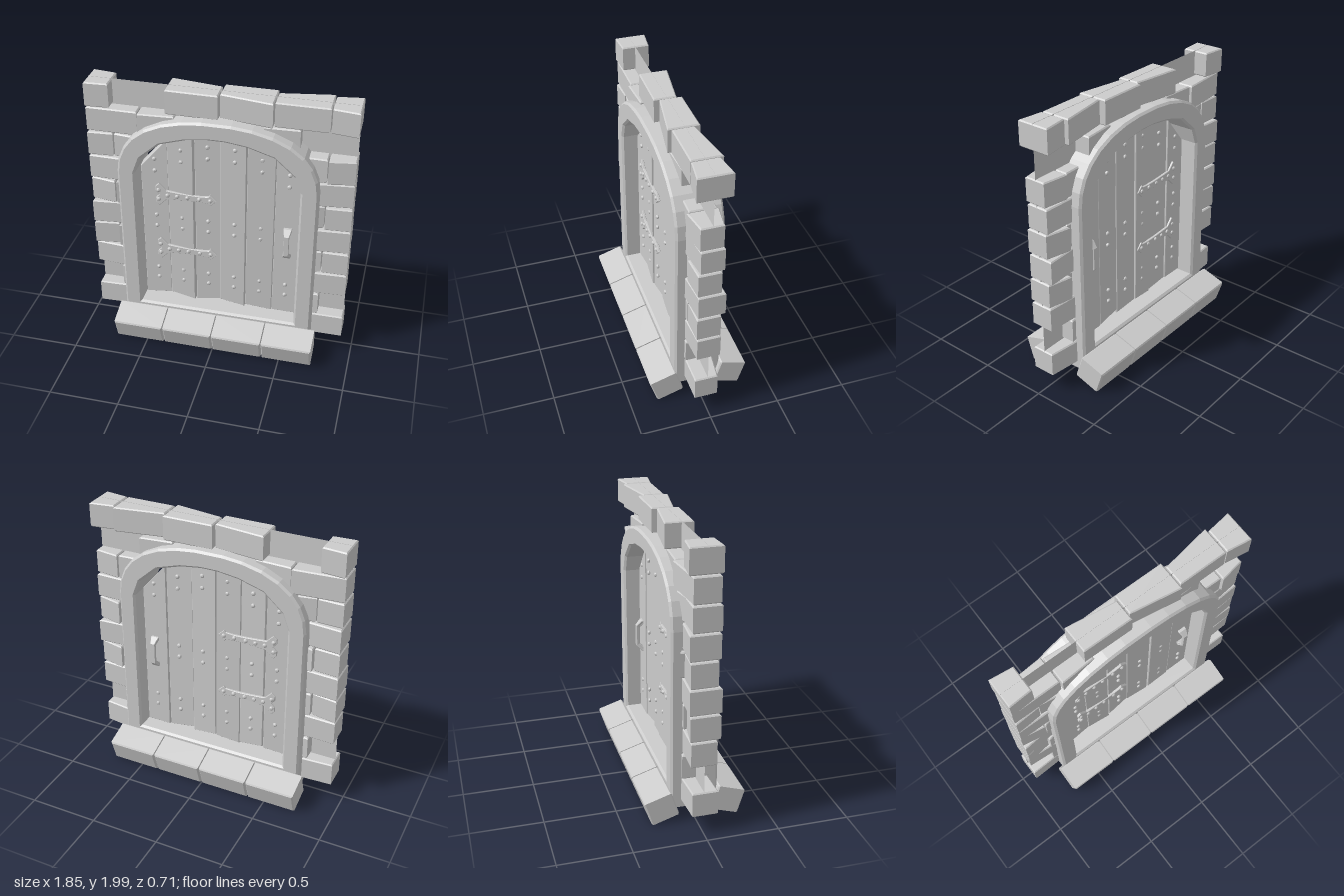
import * as THREE from 'three';

const mat = new THREE.MeshStandardMaterial({ color: 0xcccccc, flatShading: true });
const thin = new THREE.MeshStandardMaterial({ color: 0xcccccc, side: THREE.DoubleSide });

let seed = 11;
const rand = () => (seed = (seed * 16807) % 2147483647) / 2147483647;

const toShape = (pts) => new THREE.Shape(pts.map(([x, y]) => new THREE.Vector2(x, y)));
const mirrorX = (pts) => pts.concat(pts.slice().reverse().map(([x, y]) => [-x, y]));

function add(parent, geo, name, material = mat) {
  const mesh = new THREE.Mesh(geo, material);
  mesh.name = name;
  parent.add(mesh);
  return mesh;
}

// Extrude with a small chamfer that stays inside the outline; depth is centred on 0
function slab(shape, depth, bevel) {
  const geo = new THREE.ExtrudeGeometry(shape, {
    depth: depth - 2 * bevel, bevelEnabled: true, bevelThickness: bevel,
    bevelSize: bevel, bevelOffset: -bevel, bevelSegments: 1,
  });
  return geo.translate(0, 0, -depth / 2 + bevel);
}

// Wall brick whose front and back faces may slant: z = [backL, backR, frontL, frontR]
function brick(parent, x0, x1, row, z) {
  const g = 0.004, h = 0.1855;
  const shape = toShape([[x0 + g, -z[2]], [x1 - g, -z[3]], [x1 - g, -z[1]], [x0 + g, -z[0]]]);
  const geo = slab(shape, h - 2 * g, 0.008).rotateX(-Math.PI / 2);
  add(parent, geo, 'wallBrick').position.y = 0.145 + (row + 0.5) * h;
}

function buildWall() {
  const wall = new THREE.Group();
  wall.name = 'brickWall';
  // Thin backing sheet, showing where bricks are missing
  const sheet = toShape([[-0.92, 0.147], [0.92, 0.147], [0.92, 1.998], [-0.92, 1.998]]);
  sheet.holes.push(toShape(mirrorX([[0.63, 0.2], [0.63, 1.42], [0.57, 1.57], [0.4, 1.69], [0.2, 1.75]])));
  add(wall, new THREE.ShapeGeometry(sheet), 'wallBacking', thin);

  const depths = () => {
    const a = 0.08 + rand() * 0.035, b = 0.08 + rand() * 0.035;
    return [-a, -(0.17 - a + rand() * 0.02), b, 0.18 - b + rand() * 0.015];
  };
  // Side rows: long bricks alternate with a split pair, outer ones missing in the second row
  for (let row = 0; row < 8; row++) {
    for (const s of [-1, 1]) {
      const put = (a, b) => brick(wall, Math.min(s * a, s * b), Math.max(s * a, s * b), row, depths());
      if (row % 2 === 0) put(0.6, 0.927);
      else {
        put(0.6, 0.74);
        if (row !== 1) put(0.74, 0.927);
      }
    }
  }
  // Row around the crown of the arch, with a missing brick at one end
  brick(wall, -0.927, -0.56, 8, [-0.09, -0.115, 0.09, 0.09]);
  brick(wall, -0.56, -0.3, 8, [-0.1, -0.085, 0.11, 0.095]);
  brick(wall, 0.3, 0.55, 8, [-0.09, -0.115, 0.09, 0.08]);
  // Top row
  brick(wall, -0.927, -0.75, 9, [-0.12, -0.1, 0.1, 0.09]);
  brick(wall, -0.37, 0, 9, [-0.115, -0.065, 0.085, 0.09]);
  brick(wall, 0, 0.37, 9, [-0.1, -0.1, 0.055, 0.115]);
  brick(wall, 0.37, 0.74, 9, [-0.06, -0.12, 0.09, 0.09]);
  brick(wall, 0.74, 0.927, 9, [-0.095, -0.12, 0.09, 0.115]);
  return wall;
}

// Arched surround with sill
function buildFrame() {
  const outer = mirrorX([[0.7, 0.1], [0.7, 1.38], [0.687, 1.48], [0.65, 1.57], [0.59, 1.65],
    [0.5, 1.72], [0.38, 1.775], [0.24, 1.81], [0.1, 1.825]]);
  const inner = mirrorX([[0.575, 0.26], [0.575, 1.38], [0.53, 1.5], [0.39, 1.625], [0.21, 1.68], [0.06, 1.7]]);
  const shape = toShape(outer);
  shape.holes.push(toShape(inner));
  return slab(shape, 0.33, 0.015);
}

// Door planks: [left, right, bottomL, bottomR, topL, topR, twist, z]
const planks = [
  [-0.568, -0.376, 0.27, 0.285, 1.38, 1.6, 0.06, 0.0],
  [-0.372, -0.186, 0.29, 0.262, 1.62, 1.66, -0.07, 0.005],
  [-0.182, -0.002, 0.26, 0.285, 1.635, 1.69, 0.08, -0.005],
  [0.0, 0.188, 0.285, 0.262, 1.695, 1.66, -0.06, 0.0],
  [0.191, 0.386, 0.285, 0.262, 1.66, 1.615, 0.05, 0.006],
  [0.39, 0.572, 0.262, 0.262, 1.6, 1.39, 0.0, -0.004],
];

function buildDoor() {
  const door = new THREE.Group();
  door.name = 'door';
  for (const [l, r, bl, br, tl, tr, twist, z] of planks) {
    const c = (l + r) / 2, w = (r - l) / 2;
    const mesh = add(door, slab(toShape([[-w, bl], [w, br], [w, tr], [-w, tl]]), 0.09, 0.004), 'plank');
    mesh.position.set(c, 0, z);
    mesh.rotation.y = twist;
  }
  return door;
}

// Strap hinge outline: flared plate, waisted strap, arrow tip
const upper = [[-0.435, 0], [-0.462, 0.03], [-0.462, 0.065], [-0.437, 0.09], [-0.41, 0.062], [-0.385, 0.036],
  [-0.32, 0.03], [-0.23, 0.024], [-0.14, 0.022], [-0.08, 0.028], [-0.068, 0.045], [-0.022, 0]];
const hingePts = upper.concat(upper.slice(1, -1).reverse().map(([x, y]) => [x, -y]));
const hingeStuds = [[-0.44, 0.037], [-0.44, -0.037], [-0.375, 0], [-0.305, 0], [-0.232, 0], [-0.145, 0], [-0.066, 0]];

// Bowed pull handle, wider at its feet
function handleGeometry() {
  const pts = [[0.04, -0.122], [0.062, -0.122], [0.1, -0.08], [0.1, 0.08], [0.062, 0.122],
    [0.04, 0.122], [0.04, 0.1], [0.078, 0.066], [0.078, -0.066], [0.04, -0.1]];
  const geo = slab(toShape(pts), 0.06, 0.004).rotateY(-Math.PI / 2);
  const p = geo.attributes.position;
  for (let i = 0; i < p.count; i++) {
    if (Math.abs(p.getY(i)) < 0.09) p.setX(i, p.getX(i) * 0.6);
  }
  geo.computeVertexNormals();
  return geo;
}

// Ironwork for one face of the door
function buildIronwork() {
  const iron = new THREE.Group();
  iron.name = 'ironwork';
  const studGeo = new THREE.SphereGeometry(0.016, 8, 6);
  const stud = (x, y, z) => {
    const m = add(iron, studGeo, 'stud');
    m.position.set(x, y, z);
    m.scale.z = 0.8;
  };
  const tops = [1.397, 1.49, 1.538, 1.538, 1.49, 1.397];
  tops.forEach((top, i) => {
    const x = -0.466 + i * 0.1902;
    for (const y of i < 5 ? [0.47, 0.935, top] : [0.47, top]) {
      stud(x, y - 0.046, 0.047);
      stud(x, y + 0.046, 0.047);
    }
  });
  for (const y of [0.7, 1.165]) {
    add(iron, slab(toShape(hingePts), 0.02, 0.003), 'hinge').position.set(0, y, 0.052);
    for (const [x, dy] of hingeStuds) stud(x, y + dy, 0.062);
  }
  add(iron, handleGeometry(), 'handle').position.set(0.487, 0.89, 0);
  return iron;
}

// Row of tilted bricks leaning against the foot of the frame
function buildStep() {
  const step = new THREE.Group();
  step.name = 'stepBricks';
  const geo = slab(toShape([[-0.181, -0.089], [0.181, -0.089], [0.181, 0.089], [-0.181, 0.089]]), 0.2, 0.009);
  for (let i = 0; i < 4; i++) {
    const m = add(step, geo, 'stepBrick');
    m.position.set(-0.555 + i * 0.37, 0.1235, 0.235);
    m.rotation.x = 0.31;
  }
  return step;
}

export function createModel() {
  const model = new THREE.Group();
  model.name = 'archedDoorway';
  model.add(buildWall(), buildDoor());
  add(model, buildFrame(), 'archFrame');
  // Ironwork and step repeat on the back, hinges staying on the same side
  for (const build of [buildIronwork, buildStep]) {
    const back = build();
    back.scale.z = -1;
    model.add(build(), back);
  }
  return model;
}
